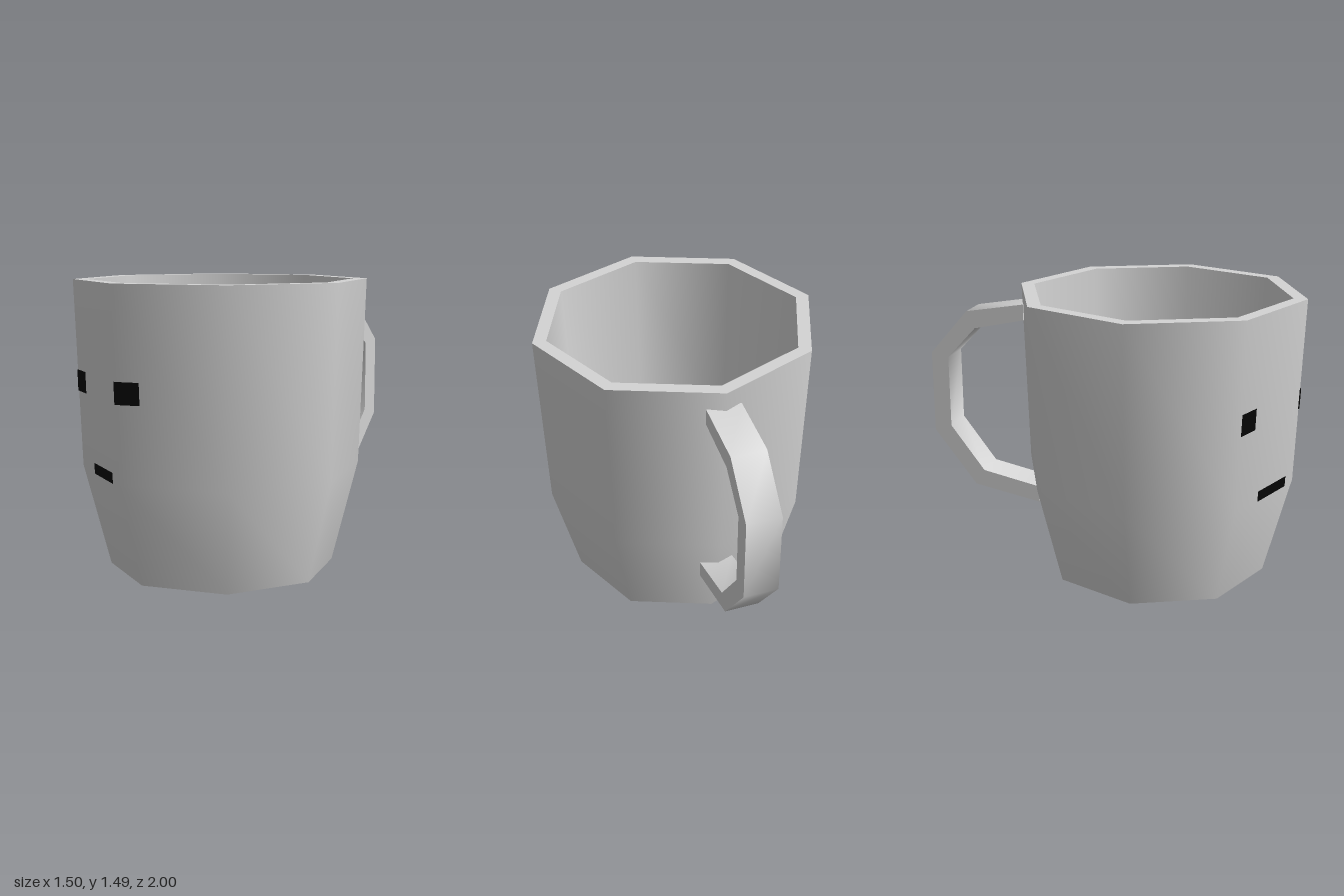
import * as THREE from 'three';
import { toCreasedNormals } from 'three/addons/utils/BufferGeometryUtils.js';

const CENTRE_Z = 0.245;
const HEIGHT = 1.49;

const ceramic = new THREE.MeshStandardMaterial({ color: 0xd4d4d4 });
ceramic.name = 'grey ceramic';
const black = new THREE.MeshStandardMaterial({ color: 0x060606 });
black.name = 'black paint';

function addMesh(group, name, geometry, material) {
  const mesh = new THREE.Mesh(geometry, material);
  mesh.name = name;
  group.add(mesh);
  return mesh;
}

// Eight-sided ring of the cup, with corners on the x and z axes
function addRing(group, name, profile) {
  const points = profile.map(([r, y]) => new THREE.Vector2(r, y));
  const mesh = addMesh(group, name, new THREE.LatheGeometry(points, 8), ceramic);
  mesh.position.z = CENTRE_Z;
}

// Painted patch that follows the front facets, bending at the front corner
function addPatch(group, name, x0, x1, y0, y1) {
  const geometry = new THREE.PlaneGeometry(1, 1, 2, 1);
  const p = geometry.attributes.position;
  const middle = x0 < 0 && x1 > 0 ? 0 : (x0 + x1) / 2;
  for (let i = 0; i < p.count; i++) {
    const x = [x0, middle, x1][i % 3];
    const y = p.getY(i) > 0 ? y1 : y0;
    const radius = 0.72 + 0.032 * (y - 0.53) / 0.96;
    const z = CENTRE_Z + radius - Math.abs(x) * Math.tan(Math.PI / 8);
    p.setXYZ(i, x, y, z + 0.005);
  }
  geometry.computeVertexNormals();
  addMesh(group, name, geometry, black);
}

export function createModel() {
  const mug = new THREE.Group();
  mug.name = 'mug';

  // Cup: separate rings keep the rim and base edges sharp
  const cup = new THREE.Group();
  cup.name = 'cup';
  mug.add(cup);
  addRing(cup, 'base', [[0, 0], [0.585, 0]]);
  addRing(cup, 'outerWall', [[0.585, 0], [0.72, 0.53], [0.752, HEIGHT]]);
  addRing(cup, 'rim', [[0.752, HEIGHT], [0.68, HEIGHT]]);
  addRing(cup, 'innerWall', [[0.68, HEIGHT], [0.645, 0.5]]);
  addRing(cup, 'floor', [[0.645, 0.5], [0, 0.5]]);

  // Handle: side outline as [z, y], extruded across x
  const outline = [
    [-0.47, 1.395], [-0.79, 1.34], [-1, 1.1], [-1, 0.66], [-0.77, 0.36], [-0.4, 0.29],
    [-0.4, 0.38], [-0.72, 0.445], [-0.905, 0.69], [-0.905, 1.08], [-0.745, 1.25], [-0.47, 1.31],
  ];
  const shape = new THREE.Shape(outline.map(([z, y]) => new THREE.Vector2(z, y)));
  const handle = new THREE.ExtrudeGeometry(shape, { depth: 0.18, bevelEnabled: false });
  handle.rotateY(-Math.PI / 2).translate(0.09, 0, 0);
  addMesh(mug, 'handle', toCreasedNormals(handle, 0.9), ceramic);

  // Face
  const face = new THREE.Group();
  face.name = 'face';
  mug.add(face);
  addPatch(face, 'rightEye', -0.52, -0.4, 0.92, 1.03);
  addPatch(face, 'leftEye', -0.013, 0.115, 0.92, 1.03);
  addPatch(face, 'mouth', -0.33, -0.08, 0.52, 0.575);

  return mug;
}
